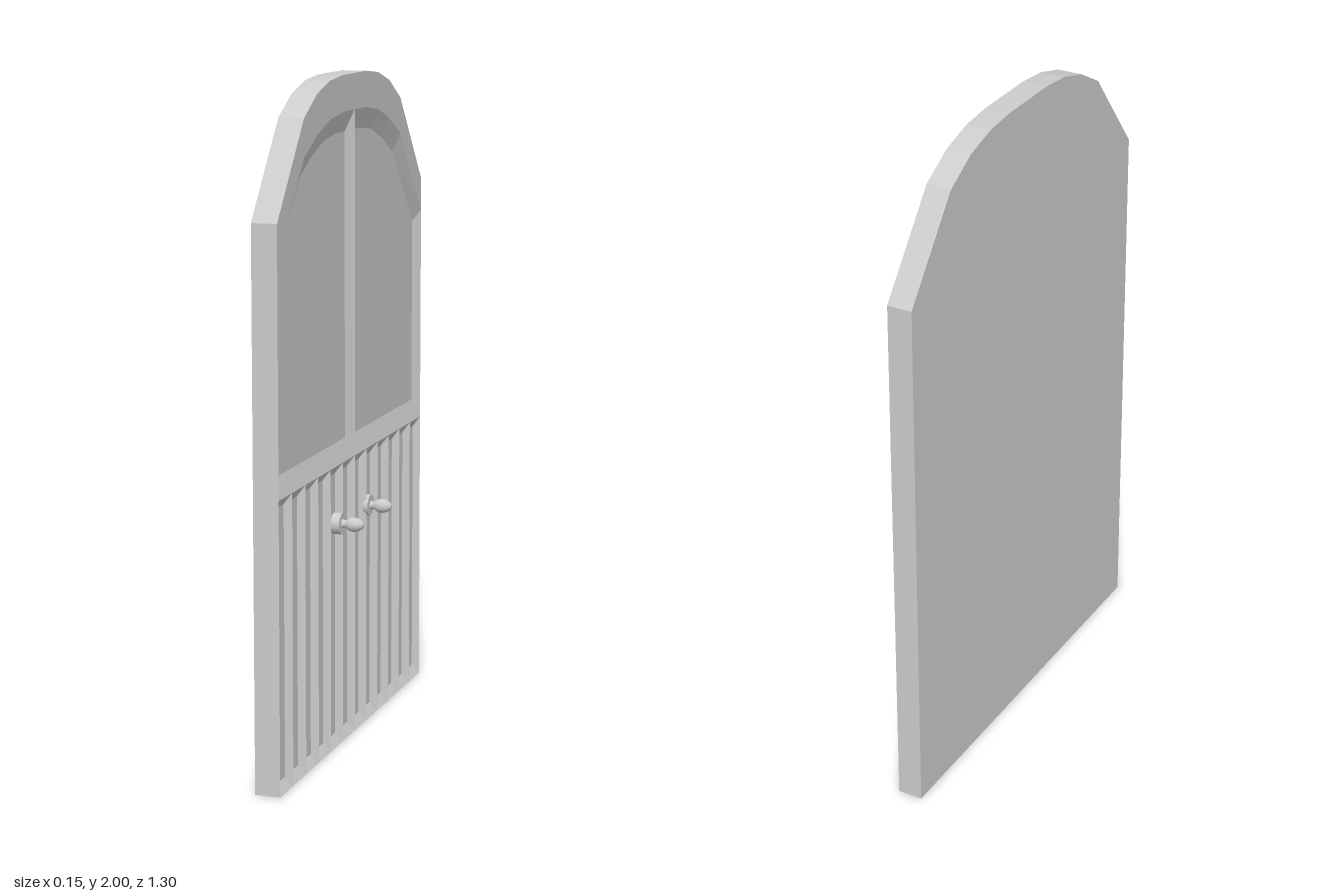
import * as THREE from 'three';

const BACK = -0.076, FRONT = 0, RECESS = -0.02;
const HALF = 0.65, PLANKS = 6, PW = HALF / PLANKS, RAIL = 0.86;

// Half outlines as [distance from seam, height]
const outline = [[0, 2], [PW, 2], [PW * 2, 1.99], [PW * 3, 1.96], [PW * 4, 1.9], [HALF, 1.63]];
const archOuter = [[0, 1.895], [PW, 1.893], [PW * 2, 1.88], [PW * 3, 1.845], [PW * 4, 1.79], [HALF, 1.53]];
const archInner = [[0.033, 1.832], [0.11, 1.832], [0.21, 1.82], [0.315, 1.785], [0.415, 1.733], [0.62, 1.497]];

// Mirror to one leaf and wind counter-clockwise as seen from +x
function loop(points, side) {
  const p = points.map(([u, y]) => new THREE.Vector2(u * side, y));
  return side < 0 ? p : p.reverse();
}

// Flat-shaded geometry from caps and bands
function builder() {
  const pos = [];
  const put = (p, x) => pos.push(x, p.y, -p.x);
  return {
    cap(p, x, flip = false) {
      for (const [a, b, c] of THREE.ShapeUtils.triangulateShape(p, [])) {
        for (const i of flip ? [a, c, b] : [a, b, c]) put(p[i], x);
      }
    },
    // Band between a loop at x = xa and the matching loop inside or in front of it at x = xb
    band(a, xa, b, xb) {
      a.forEach((p, i) => {
        const j = (i + 1) % a.length;
        put(p, xa); put(a[j], xa); put(b[j], xb);
        put(p, xa); put(b[j], xb); put(b[i], xb);
      });
    },
    geometry() {
      const g = new THREE.BufferGeometry();
      g.setAttribute('position', new THREE.Float32BufferAttribute(pos, 3));
      g.computeVertexNormals();
      return g;
    },
  };
}

function addMesh(parent, name, geometry, material) {
  const m = new THREE.Mesh(geometry, material);
  m.name = name;
  parent.add(m);
  return m;
}

// Bevelled recess: sloping band down to a sunken flat panel
function recess(outer, inner, side) {
  const b = builder(), o = loop(outer, side), i = loop(inner, side);
  b.band(o, FRONT, i, RECESS);
  b.cap(i, RECESS);
  return b.geometry();
}

function makeLeaf(side, material) {
  const leaf = new THREE.Group();
  leaf.name = side > 0 ? 'rightLeaf' : 'leftLeaf';

  // Back and edges
  const body = builder();
  const rim = loop([...outline, [HALF, 0], [0, 0]], side);
  body.band(rim, BACK, rim, FRONT);
  body.cap(rim, BACK, true);
  addMesh(leaf, 'leafBody', body.geometry(), material);

  // Flat arched frame at the top
  const frame = builder();
  frame.cap(loop([...outline, ...archOuter.slice().reverse()], side), FRONT);
  addMesh(leaf, 'archFrame', frame.geometry(), material);

  // Large upper panel
  addMesh(leaf, 'upperPanel', recess(
    [...archOuter, [HALF, RAIL], [0, RAIL]],
    [...archInner, [0.62, 0.92], [0.033, 0.92]], side), material);

  // Lower planks
  for (let k = 0; k < PLANKS; k++) {
    const a = k * PW, b = a + PW, s = 0.015, t = 0.03;
    addMesh(leaf, 'plank' + (k + 1), recess(
      [[a, RAIL], [b, RAIL], [b, 0], [a, 0]],
      [[a + s, RAIL - t], [b - s, RAIL - t], [b - s, t], [a + s, t]], side), material);
  }

  // Door knob: round plate, neck and egg-shaped grip
  const knob = new THREE.Group();
  knob.name = 'knob';
  const plate = addMesh(knob, 'knobPlate', new THREE.CylinderGeometry(0.032, 0.032, 0.027, 24), material);
  plate.position.y = -0.0065;
  const profile = [[0.014, 0.006], [0.011, 0.014], [0.012, 0.02], [0.018, 0.027], [0.0215, 0.037],
    [0.0215, 0.047], [0.0185, 0.059], [0.012, 0.069], [0.006, 0.073], [0, 0.074]];
  addMesh(knob, 'knobGrip',
    new THREE.LatheGeometry(profile.map(([r, y]) => new THREE.Vector2(r, y)), 20), material);
  knob.rotation.z = -Math.PI / 2;
  knob.position.set(0, 0.68, -side * 0.131);
  leaf.add(knob);
  return leaf;
}

export function createModel() {
  const door = new THREE.Group();
  door.name = 'doubleDoor';
  const grey = new THREE.MeshStandardMaterial({ color: 0xcccccc });
  grey.name = 'lightGrey';
  for (const side of [-1, 1]) door.add(makeLeaf(side, grey));
  return door;
}
